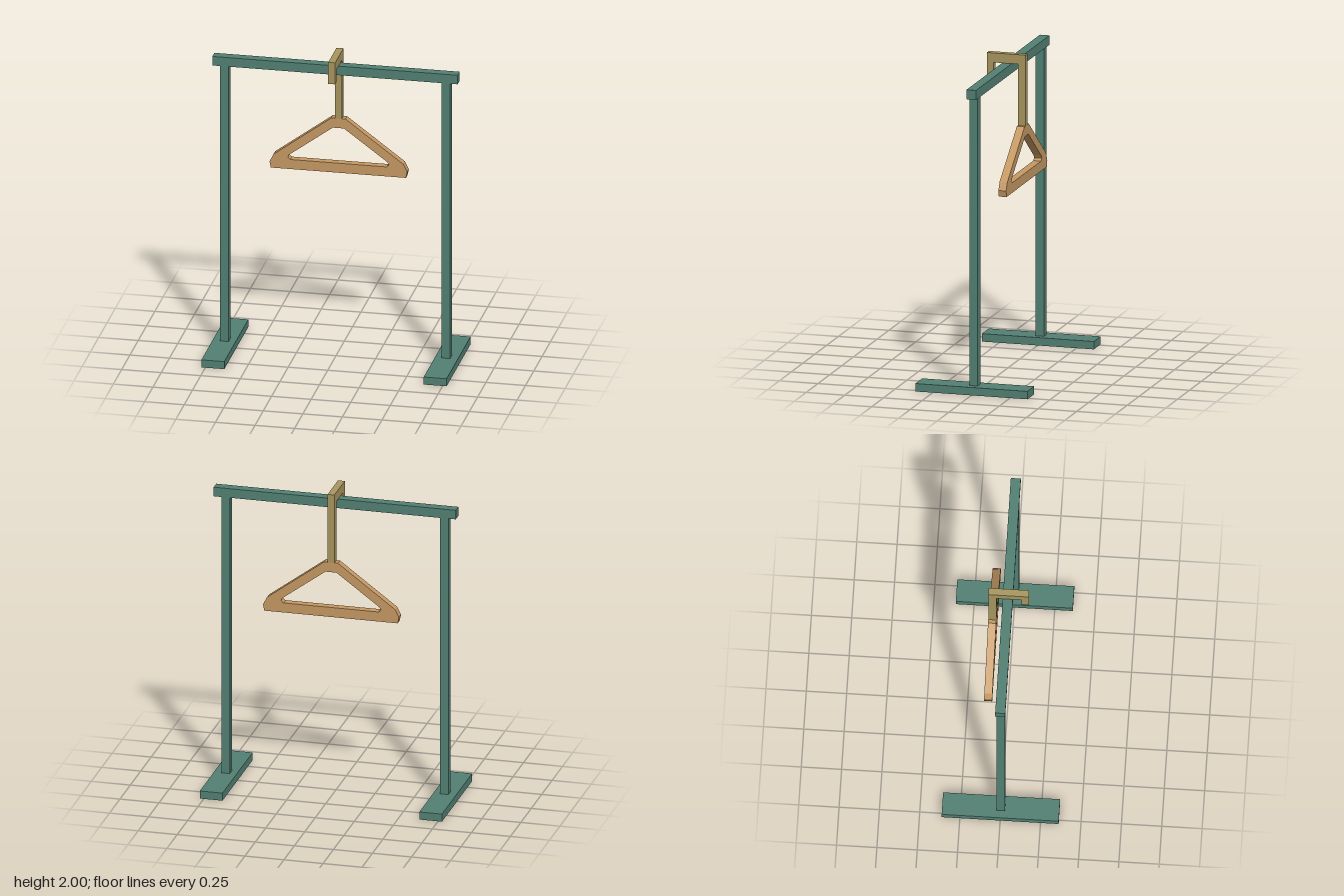
import * as THREE from 'three';

const green = new THREE.MeshStandardMaterial({ color: 0x528073, flatShading: true });
const wood = new THREE.MeshStandardMaterial({ color: 0xc49863, flatShading: true });
const brass = new THREE.MeshStandardMaterial({ color: 0xa8965f, flatShading: true });

function box(name, size, position, material) {
  const mesh = new THREE.Mesh(new THREE.BoxGeometry(...size), material);
  mesh.name = name;
  mesh.position.set(...position);
  return mesh;
}

// Mirrors a half outline (+x side, bottom to top) into a counter-clockwise loop
function mirrored(half) {
  const right = half.map(([x, y]) => new THREE.Vector2(x, y));
  const left = half.map(([x, y]) => new THREE.Vector2(-x, y)).reverse();
  return [...right, ...left];
}

export function createModel() {
  const model = new THREE.Group();
  model.name = 'clothesRack';

  // Rack: top rail, two posts and two feet
  model.add(box('rail', [1.55, 0.06, 0.062], [0, 1.91, 0], green));
  for (const [side, s] of [['left', 1], ['right', -1]]) {
    model.add(box(side + 'Post', [0.054, 1.83, 0.053], [s * 0.7, 0.965, 0], green));
    model.add(box(side + 'Foot', [0.145, 0.05, 0.725], [s * 0.7025, 0.025, 0], green));
  }

  const hanger = new THREE.Group();
  hanger.name = 'hanger';
  model.add(hanger);

  // Hanger frame: chamfered triangle with a triangular opening
  const frame = new THREE.Shape(mirrored([[0.427, 1.19], [0.435, 1.23], [0.41, 1.28], [0.045, 1.55]]));
  frame.holes.push(new THREE.Path(
    mirrored([[0.305, 1.253], [0.32, 1.268], [0.31, 1.285], [0.035, 1.487]])));
  const frameMesh = new THREE.Mesh(
    new THREE.ExtrudeGeometry(frame, { depth: 0.05, bevelEnabled: false }), wood);
  frameMesh.name = 'hangerFrame';
  frameMesh.position.z = -0.121;
  hanger.add(frameMesh);

  // Square hook: side profile (z, y) extruded across x
  const hook = new THREE.Shape([
    [-0.121, 1.55], [-0.071, 1.55], [-0.071, 1.94], [0.086, 1.94],
    [0.086, 1.857], [0.13, 1.857], [0.13, 2], [-0.121, 2],
  ].map(([z, y]) => new THREE.Vector2(z, y)));
  const hookGeometry = new THREE.ExtrudeGeometry(hook, { depth: 0.044, bevelEnabled: false });
  hookGeometry.translate(0, 0, -0.022).rotateY(-Math.PI / 2);
  const hookMesh = new THREE.Mesh(hookGeometry, brass);
  hookMesh.name = 'hangerHook';
  hanger.add(hookMesh);

  return model;
}
